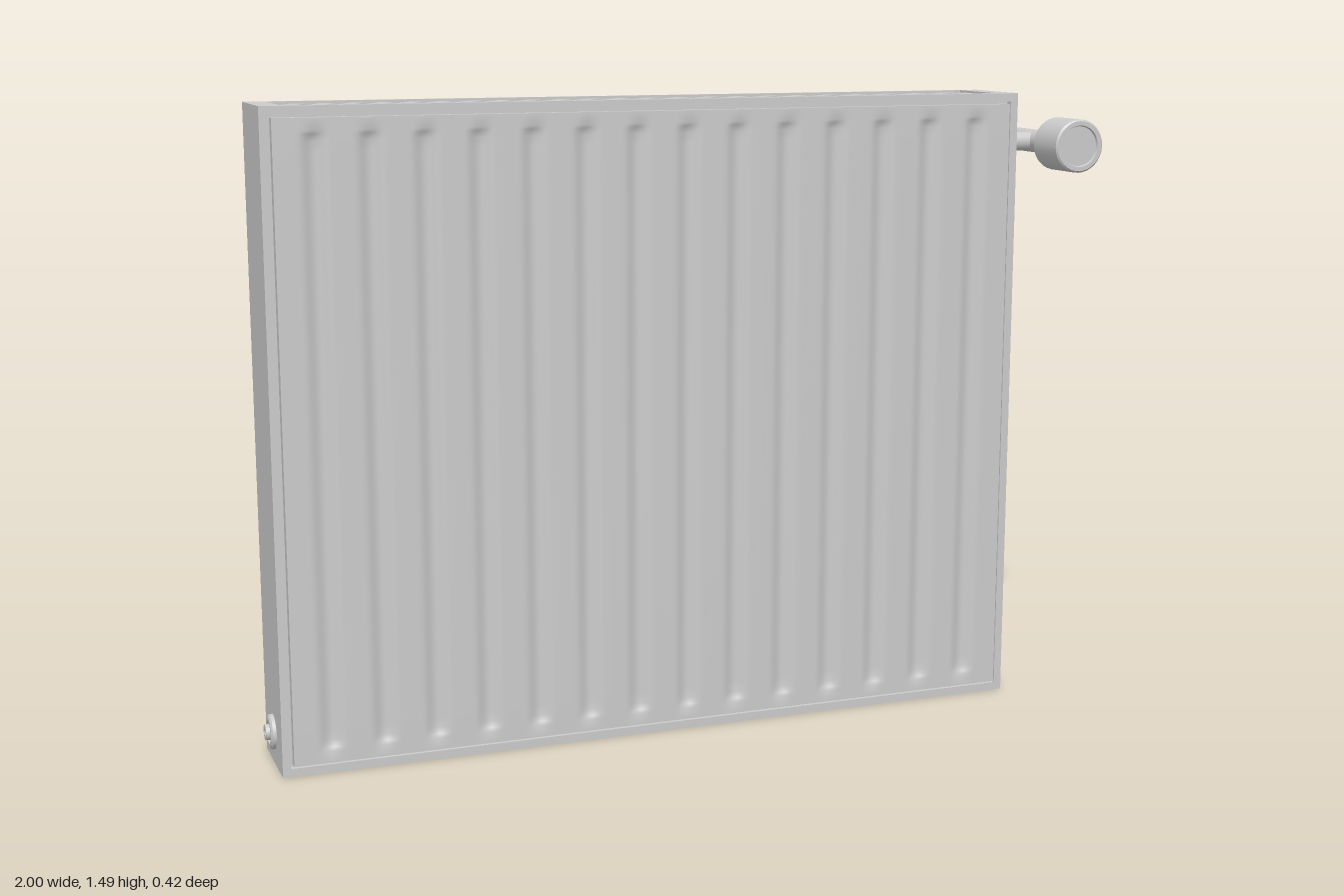
import * as THREE from 'three';

const CX = -0.0775, W = 1.805, H = 1.485;
const material = new THREE.MeshStandardMaterial({ color: 0xcccccc });

function add(parent, name, geometry, x = 0, y = 0, z = 0) {
  const mesh = new THREE.Mesh(geometry, material);
  mesh.name = name;
  mesh.position.set(x, y, z);
  parent.add(mesh);
  return mesh;
}

// Rectangular frame in the xy plane, extruded along +z
function frameGeometry(w, h, innerW, innerH, depth) {
  const rect = (P, a, b) => new P([[-a, -b], [a, -b], [a, b], [-a, b]]
    .map(([x, y]) => new THREE.Vector2(x / 2, y / 2)));
  const shape = rect(THREE.Shape, w, h);
  shape.holes.push(rect(THREE.Path, innerW, innerH));
  return new THREE.ExtrudeGeometry(shape, { depth, bevelEnabled: false });
}

// Front plate with 14 soft vertical grooves pressed into its face
function panelGeometry() {
  const rows = [0.025, 0.052, 0.06, 0.075, 0.1, 1.385, 1.41, 1.425, 1.433, 1.46];
  const ends = [0, 0, 0.6, 1, 1, 1, 1, 0.6, 0, 0];
  const w = 1.755, n = rows.length - 1, halfWidth = 0.034, depth = 0.011;
  const geometry = new THREE.BoxGeometry(w, n, 0.027, 280, n, 1);
  const p = geometry.attributes.position;
  for (let i = 0; i < p.count; i++) {
    const row = Math.round(p.getY(i) + n / 2);
    p.setY(i, rows[row]);
    if (p.getZ(i) < 0) continue;
    const u = (p.getX(i) + CX + 0.867) / 0.1213;
    const k = Math.min(13, Math.max(0, Math.round(u)));
    const d = Math.abs(u - k) * 0.1213 / halfWidth;
    if (d < 1) p.setZ(i, p.getZ(i) - depth * ends[row] * (0.5 + 0.5 * Math.cos(Math.PI * d)));
  }
  geometry.computeVertexNormals();
  return geometry;
}

// Turned part: each straight run of the profile keeps crisp edges
function turned(parent, name, profile, segments = 32) {
  const group = new THREE.Group();
  group.name = name;
  for (let i = 0; i < profile.length - 1; i++) {
    const pts = [profile[i], profile[i + 1]].map(([r, y]) => new THREE.Vector2(r, y));
    add(group, name + 'Surface', new THREE.LatheGeometry(pts, segments));
  }
  parent.add(group);
  return group;
}

export function createModel() {
  const model = new THREE.Group();
  model.name = 'radiator';

  // Casing: core, front rim and top rim
  add(model, 'casing', new THREE.BoxGeometry(W, 1.445, 0.195), CX, 0.7225, -0.0075);
  add(model, 'frontRim', frameGeometry(W, H, 1.767, 1.447, 0.015), CX, H / 2, 0.09);
  const topRim = add(model, 'topRim', frameGeometry(W, 0.195, 1.705, 0.175, 0.04), CX, 1.445, -0.0075);
  topRim.rotation.x = -Math.PI / 2;

  // Ribbed front plate
  add(model, 'frontPanel', panelGeometry(), CX, 0, 0.0985);

  // Top grille slats
  const grille = new THREE.Group();
  grille.name = 'topGrille';
  model.add(grille);
  for (let i = 0; i < 8; i++) {
    add(grille, 'grilleSlat', new THREE.BoxGeometry(1.705, 0.035, 0.011), CX, 1.4625, -0.0775 + i * 0.02);
  }

  // Thermostatic valve on the upper left side
  const valve = new THREE.Group();
  valve.name = 'valve';
  valve.position.set(0.936, 1.363, 0);
  model.add(valve);
  const stub = add(valve, 'valveStub', new THREE.CylinderGeometry(0.023, 0.023, 0.12, 24), -0.058);
  stub.rotation.z = Math.PI / 2;
  const pipe = add(valve, 'valvePipe', new THREE.CylinderGeometry(0.028, 0.028, 0.29, 24), 0, 0, -0.065);
  pipe.rotation.x = Math.PI / 2;
  const head = turned(valve, 'thermostatHead', [
    [0, 0.07], [0.04, 0.07], [0.063, 0.103], [0.063, 0.206], [0.059, 0.21],
    [0.049, 0.21], [0.047, 0.205], [0, 0.205],
  ]);
  head.rotation.x = Math.PI / 2;

  // Vent plug on the lower right side
  const plug = turned(model, 'ventPlug', [
    [0.04, 0], [0.04, 0.008], [0.034, 0.012], [0.026, 0.012], [0.026, 0.006],
    [0.018, 0.006], [0.018, 0.02], [0.009, 0.02], [0.009, 0.012], [0, 0.012],
  ], 24);
  plug.position.set(-0.98, 0.075, 0);
  plug.rotation.z = Math.PI / 2;

  return model;
}
